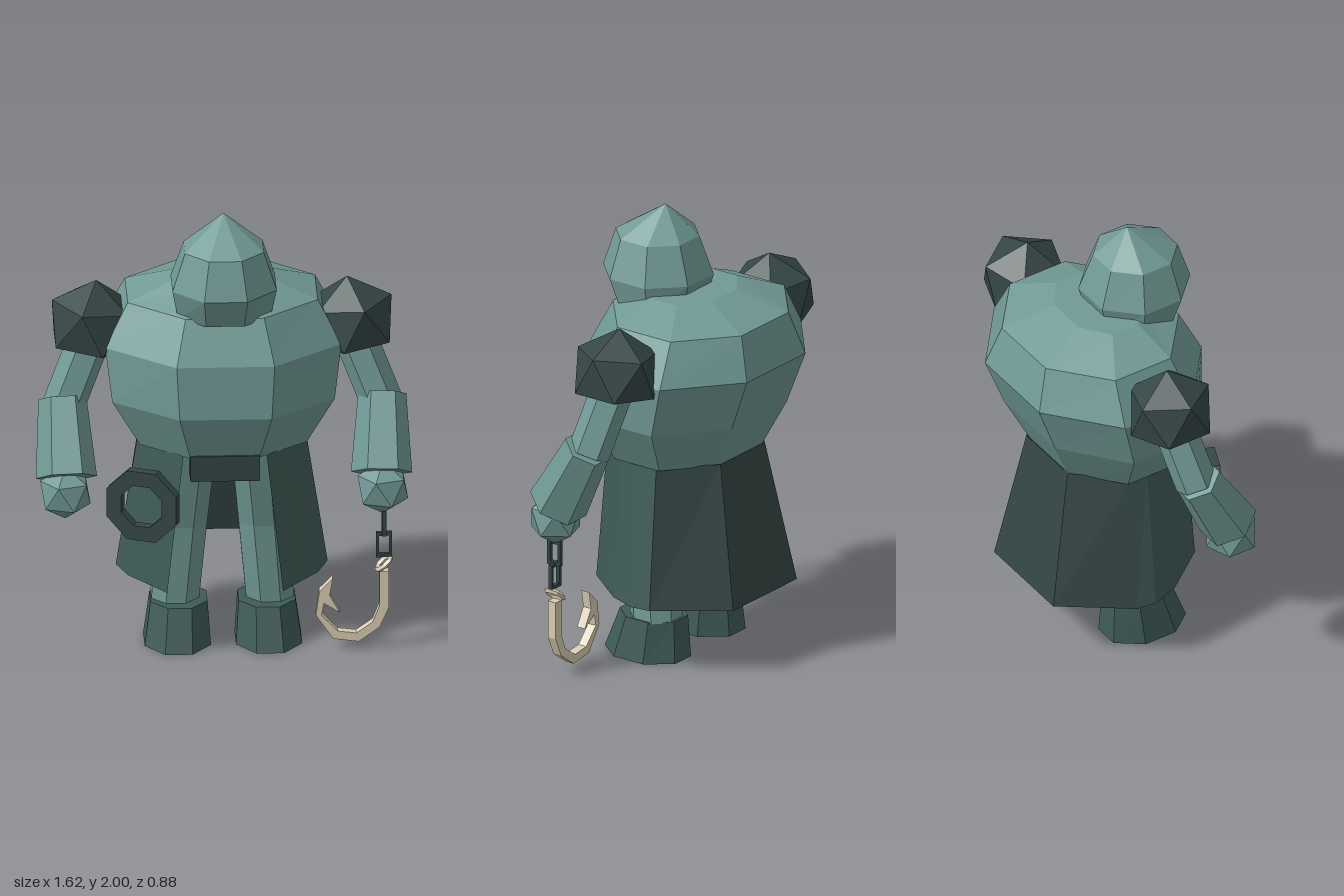
import * as THREE from 'three';

const mat = (name, color, side = THREE.FrontSide) => {
  const m = new THREE.MeshStandardMaterial({ color, side });
  m.name = name;
  return m;
};

// Unshared corners give every facet its own flat normal
function flat(geo) {
  const g = geo.index ? geo.toNonIndexed() : geo;
  g.computeVertexNormals();
  return g;
}

// Joins equal-length rings of [x, y, z]; seen from above each ring runs from +z to +x to -z
function loft(rings, closed = true) {
  const n = rings[0].length, pos = [];
  const tri = (a, b, c) => pos.push(...a, ...b, ...c);
  for (let r = 0; r < rings.length - 1; r++) {
    const lo = rings[r], hi = rings[r + 1];
    for (let i = 0; i < (closed ? n : n - 1); i++) {
      const j = (i + 1) % n;
      tri(lo[i], lo[j], hi[j]);
      tri(lo[i], hi[j], hi[i]);
    }
  }
  if (closed) {
    const lo = rings[0], hi = rings[rings.length - 1];
    for (let i = 1; i < n - 1; i++) {
      tri(lo[0], lo[i + 1], lo[i]);
      tri(hi[0], hi[i], hi[i + 1]);
    }
  }
  const g = new THREE.BufferGeometry();
  g.setAttribute('position', new THREE.Float32BufferAttribute(pos, 3));
  return flat(g);
}

// Octagon ring with a flat front: height, half width, front z, back z, centre x
function octagon(y, hx, zf, zb, cx = 0) {
  const k = 1 / Math.cos(Math.PI / 8);
  return Array.from({ length: 8 }, (_, i) => {
    const a = (i - 0.5) * Math.PI / 4;
    return [cx + hx * k * Math.sin(a), y, (zf + zb) / 2 + (zf - zb) / 2 * k * Math.cos(a)];
  });
}

// Pentagon ring for the shoulder guards
const pentagon = (y, r, turn) => Array.from({ length: 5 }, (_, i) => {
  const a = i * Math.PI * 0.4 + turn;
  return [r * Math.sin(a), y, r * Math.cos(a)];
});

// Tapered prism between two points
function limb(a, b, ra, rb, sides) {
  const A = new THREE.Vector3(...a), B = new THREE.Vector3(...b), d = A.clone().sub(B);
  const g = new THREE.CylinderGeometry(ra, rb, d.length(), sides, 1, false, Math.PI / sides);
  g.applyQuaternion(new THREE.Quaternion().setFromUnitVectors(new THREE.Vector3(0, 1, 0), d.normalize()));
  const c = A.add(B).multiplyScalar(0.5);
  return flat(g.translate(c.x, c.y, c.z));
}

const extrude = (shape, depth) =>
  flat(new THREE.ExtrudeGeometry(shape, { depth, bevelEnabled: false }).translate(0, 0, -depth / 2));

export function createModel() {
  const model = new THREE.Group();
  const skin = mat('teal skin', 0x719a96);
  const cloth = mat('dark teal cloth', 0x3f5b57, THREE.DoubleSide);
  const iron = mat('dark iron', 0x344645, THREE.DoubleSide);
  const bone = mat('pale bone', 0xdacfb4);
  const add = (name, geo, material, parent = model) => {
    const m = new THREE.Mesh(geo, material);
    m.name = name;
    parent.add(m);
    return m;
  };

  // Barrel torso with a hunched back
  add('torso', loft([
    octagon(0.93, 0.36, 0.33, -0.25), octagon(1.14, 0.48, 0.41, -0.35),
    octagon(1.38, 0.51, 0.4, -0.44), octagon(1.57, 0.41, 0.31, -0.38),
    octagon(1.65, 0.22, 0.16, -0.16),
  ]), skin);

  // Pointed head pushed forward
  add('head', loft([
    octagon(1.55, 0.2, 0.35, 0), octagon(1.69, 0.225, 0.42, -0.035),
    octagon(1.86, 0.17, 0.37, 0.025), octagon(2, 0.001, 0.156, 0.154),
  ]), skin);

  // Long coat: two side panels open at the front, and a darker back
  const coatPanel = (y, points) => points.map(([x, z]) => [x, y, z]);
  const mirrored = (points) => points.map(([x, z]) => [-x, z]).reverse();
  const sideLow = [[0.25, 0.34], [0.41, 0.13], [0.457, 0], [0.445, -0.09]];
  const sideHigh = [[0.18, 0.33], [0.32, 0.15], [0.36, 0.02], [0.355, -0.06]];
  const backLow = [[0.445, -0.09], [0.23, -0.38]], backHigh = [[0.355, -0.06], [0.16, -0.26]];
  add('coatLeft', loft([coatPanel(0.31, sideLow), coatPanel(0.94, sideHigh)], false), cloth);
  add('coatRight', loft([coatPanel(0.31, mirrored(sideLow)), coatPanel(0.94, mirrored(sideHigh))], false), cloth);
  add('coatBack', loft([
    coatPanel(0.31, [...backLow, ...mirrored(backLow)]), coatPanel(0.94, [...backHigh, ...mirrored(backHigh)]),
  ], false), iron);
  add('belt', flat(new THREE.BoxGeometry(0.3, 0.115, 0.14).translate(0, 0.885, 0.275)), iron);

  for (const s of [1, -1]) {
    const side = s > 0 ? 'left' : 'right';

    // Legs, bent at the knee, and boots
    add(side + 'Leg', loft([
      octagon(0.18, 0.103, 0.16, -0.06, s * 0.205), octagon(0.55, 0.107, 0.19, -0.04, s * 0.175),
      octagon(0.95, 0.11, 0.28, 0.04, s * 0.14),
    ]), skin);
    add(side + 'Boot', loft([
      octagon(0, 0.143, 0.29, -0.085, s * 0.197), octagon(0.187, 0.123, 0.22, -0.07, s * 0.19),
    ]), cloth);

    // Arms, bent forward at the elbow
    add(side + 'UpperArm', limb([s * 0.55, 1.42, 0], [s * 0.685, 1.08, 0.06], 0.092, 0.092, 6), skin);
    add(side + 'Forearm', limb([s * 0.69, 1.11, 0.06], [s * 0.68, 0.81, 0.225], 0.104, 0.132, 6), skin);
    const hand = add(side + 'Hand', flat(new THREE.IcosahedronGeometry(0.122, 0)), skin);
    hand.position.set(s * 0.685, 0.745, 0.235);
    hand.rotation.z = 0.554;

    // Faceted shoulder guards
    const guard = add(side + 'ShoulderGuard', loft([
      pentagon(-0.09, 0.18, s * Math.PI / 2 + Math.PI / 5), pentagon(0.09, 0.18, s * Math.PI / 2),
      pentagon(0.2, 0.001, s * Math.PI / 2),
    ]), iron);
    guard.position.set(s * 0.565, 1.435, 0);
    guard.rotation.z = s * 0.12;
  }

  // Octagonal ring hanging at the hip
  const ringPoints = (r) => Array.from({ length: 8 }, (_, i) => {
    const a = (i + 0.5) * Math.PI / 4;
    return new THREE.Vector2(r * Math.cos(a), r * Math.sin(a));
  });
  const ringShape = new THREE.Shape(ringPoints(0.172));
  ringShape.holes.push(new THREE.Path(ringPoints(0.1)));
  const ring = add('hipRing', extrude(ringShape, 0.045), iron);
  ring.position.set(-0.355, 0.73, 0.36);
  ring.rotation.y = -0.39;

  // Two crossed chain links below the left hand
  const rect = (T, w, h) => new T([[-w, -h], [w, -h], [w, h], [-w, h]].map(p => new THREE.Vector2(...p)));
  const linkShape = rect(THREE.Shape, 0.035, 0.058);
  linkShape.holes.push(rect(THREE.Path, 0.021, 0.042));
  for (let i = 0; i < 2; i++) {
    const link = add('chainLink', extrude(linkShape, 0.018), iron);
    link.position.set(0.69, 0.585 - i * 0.107, 0.235);
    link.rotation.y = i ? 0 : Math.PI / 2;
  }
  add('chainStem', flat(new THREE.BoxGeometry(0.018, 0.06, 0.018).translate(0.69, 0.655, 0.235)), iron);

  // Barbed hook and its eye
  const eye = new THREE.TorusGeometry(0.04, 0.012, 4, 8);
  eye.rotateY(Math.PI / 2).rotateZ(-0.85).translate(0.69, 0.39, 0.235);
  add('hookEye', flat(eye), bone);
  const hook = [
    [0.71, 0.36], [0.71, 0.19], [0.67, 0.1], [0.58, 0.035], [0.47, 0.05], [0.395, 0.16],
    [0.41, 0.27], [0.468, 0.33], [0.455, 0.25], [0.5, 0.17], [0.43, 0.215], [0.42, 0.16],
    [0.49, 0.085], [0.57, 0.075], [0.64, 0.125], [0.67, 0.2], [0.67, 0.36],
  ];
  add('hook', extrude(new THREE.Shape(hook.map(p => new THREE.Vector2(...p))), 0.042).translate(0, 0, 0.237), bone);

  return model;
}
